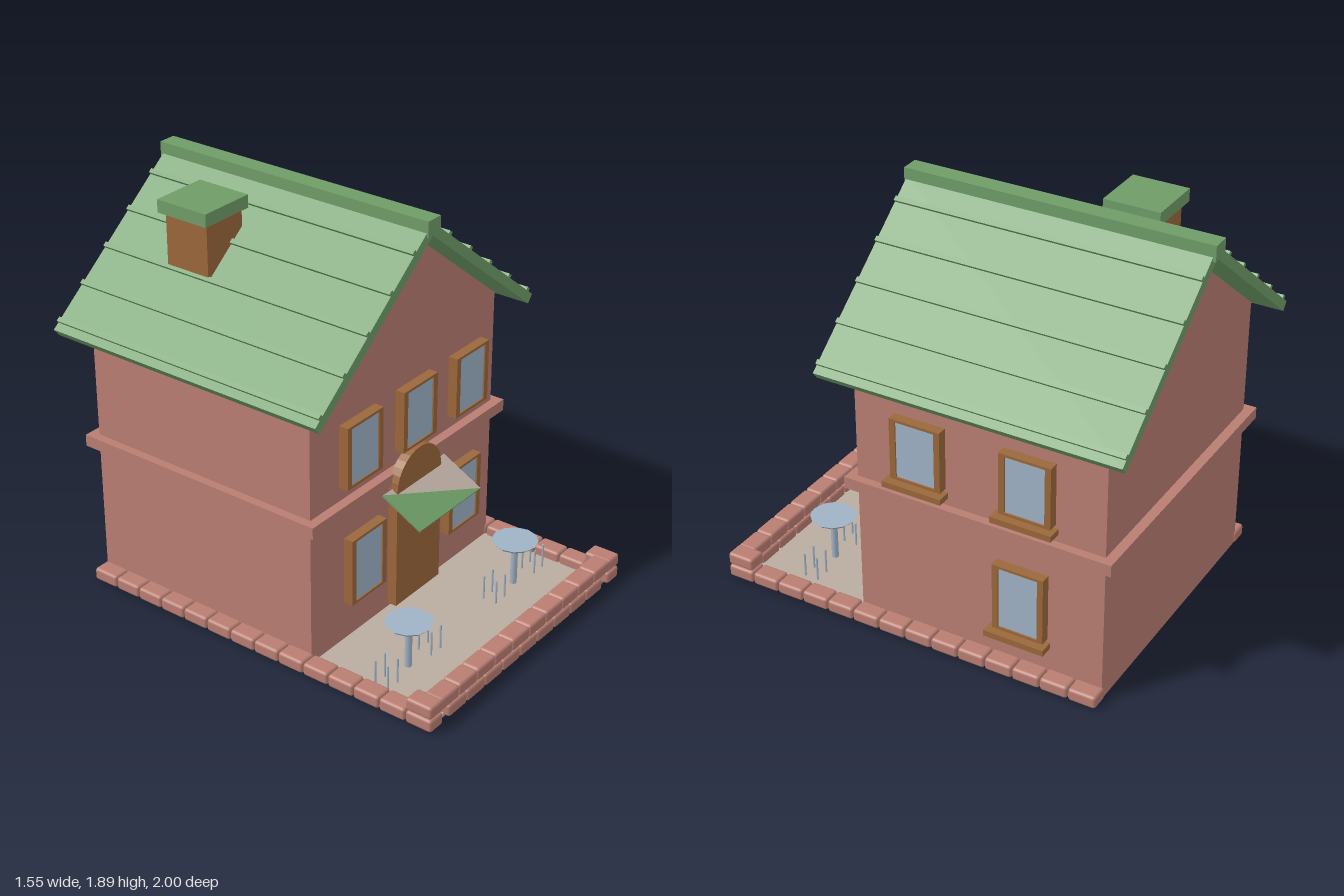
import * as THREE from 'three';
import { RoundedBoxGeometry } from 'three/addons/geometries/RoundedBoxGeometry.js';

export function createModel() {
  const house = new THREE.Group();
  house.name = 'house';

  const paint = (name, color, side = THREE.FrontSide) => {
    const m = new THREE.MeshStandardMaterial({ color, side });
    m.name = name;
    return m;
  };
  const clay = paint('clay', 0xb97e72);
  const green = paint('roofGreen', 0x6f9d68);
  const wood = paint('wood', 0x9a673b);
  const blue = paint('paleBlue', 0x9fb3c6);
  const stone = paint('stone', 0xb9aca0);

  const add = (name, geo, mat, x = 0, y = 0, z = 0, parent = house) => {
    const mesh = new THREE.Mesh(geo, mat);
    mesh.name = name;
    mesh.position.set(x, y, z);
    parent.add(mesh);
    return mesh;
  };
  // Box given by its min and max on every axis
  const span = (name, mat, x0, x1, y0, y1, z0, z1, parent = house) =>
    add(name, new THREE.BoxGeometry(x1 - x0, y1 - y0, z1 - z0), mat,
      (x0 + x1) / 2, (y0 + y1) / 2, (z0 + z1) / 2, parent);

  // Walls, storey band and gable
  span('walls', clay, -0.66, 0.66, 0.005, 1.27, -0.87, 0.32);
  span('storeyBand', clay, -0.7, 0.7, 0.675, 0.73, -0.915, 0.365);
  const gable = new THREE.Shape([
    new THREE.Vector2(-0.67, 1.265), new THREE.Vector2(0.67, 1.265), new THREE.Vector2(0, 1.795),
  ]);
  add('gable', new THREE.ExtrudeGeometry(gable, { depth: 1.19, bevelEnabled: false }), clay, 0, 0, -0.87);

  // Roof slopes with raised seams; local x runs from ridge to eave
  const slopeAngle = Math.atan2(0.59, 0.748);
  const slopeLength = Math.hypot(0.59, 0.748);
  for (const side of [1, -1]) {
    const slope = new THREE.Group();
    slope.name = side > 0 ? 'leftRoofSlope' : 'rightRoofSlope';
    slope.position.set(0, 1.81, 0);
    slope.rotation.set(0, side > 0 ? 0 : Math.PI, -side * slopeAngle);
    // Both slopes are turned about z after the half turn about y
    slope.rotation.order = 'ZYX';
    house.add(slope);
    const zMid = side * -0.272;
    add('roofSheet', new THREE.BoxGeometry(slopeLength, 0.046, 1.43), green, slopeLength / 2, 0.023, zMid, slope);
    for (let i = 0; i < 5; i++) {
      const along = (0.062 + i * 0.154) / Math.cos(slopeAngle);
      add('roofSeam', new THREE.BoxGeometry(0.022, 0.018, 1.43), green, along + 0.04, 0.052, zMid, slope);
    }
  }
  span('ridgeCap', green, -0.043, 0.043, 1.815, 1.888, -1, 0.45);

  // Chimney
  span('chimney', wood, -0.435, -0.21, 1.45, 1.79, -0.62, -0.395);
  span('chimneyCap', green, -0.462, -0.19, 1.785, 1.845, -0.642, -0.375);

  // Windows: built facing +z, then placed on the front or the left wall
  function addWindow(x, z, yLow, yHigh, turned) {
    const w = new THREE.Group();
    w.name = turned ? 'sideWindow' : 'frontWindow';
    const h = yHigh - yLow;
    for (const s of [-1, 1]) {
      add('frameSide', new THREE.BoxGeometry(0.028, h, 0.046), wood, s * 0.107, h / 2, 0, w);
      add('frameRail', new THREE.BoxGeometry(0.188, 0.012, 0.046), wood, 0, h / 2 + s * (h / 2 - 0.006), 0, w);
    }
    add('glass', new THREE.BoxGeometry(0.188, h - 0.02, 0.024), blue, 0, h / 2, 0.004, w);
    if (turned) {
      add('sill', new THREE.BoxGeometry(0.285, 0.028, 0.065), wood, 0, -0.016, 0.026, w);
      w.rotation.y = Math.PI / 2;
    }
    w.position.set(x, yLow, z);
    house.add(w);
  }
  for (const x of [-0.388, 0, 0.388]) addWindow(x, 0.377, 0.83, 1.122, false);
  for (const x of [-0.356, 0.356]) addWindow(x, 0.377, 0.244, 0.566, false);
  addWindow(0.71, -0.015, 0.83, 1.122, true);
  addWindow(0.71, -0.533, 0.83, 1.122, true);
  addWindow(0.71, -0.503, 0.244, 0.566, true);

  // Door with arched head
  span('door', wood, -0.162, 0.162, 0.075, 0.66, 0.354, 0.4);
  const arch = new THREE.Shape();
  arch.absellipse(0, 0, 0.16, 0.152, 0, Math.PI, false, 0);
  add('doorArch', new THREE.ExtrudeGeometry(arch, { depth: 0.046, bevelEnabled: false, curveSegments: 7 }),
    wood, 0, 0.66, 0.354);

  // Sloping canopy in two triangular halves
  const canopy = new THREE.Group();
  canopy.name = 'canopy';
  canopy.position.set(0, 0.607, 0.467);
  canopy.rotation.x = -Math.PI / 2 + Math.atan2(0.105, 0.2);
  house.add(canopy);
  const half = (name, mat, points) => {
    const shape = new THREE.Shape(points.map(([x, y]) => new THREE.Vector2(x, y)));
    add(name, new THREE.ExtrudeGeometry(shape, { depth: 0.01, bevelEnabled: false }), mat, 0, 0, -0.005, canopy);
  };
  half('canopyGreenHalf', green, [[-0.225, 0.112], [-0.225, -0.112], [0.225, -0.112]]);
  half('canopyPaleHalf', stone, [[-0.225, 0.112], [0.225, -0.112], [0.225, 0.112]]);

  // Terrace floor
  span('terrace', stone, -0.66, 0.66, 0, 0.018, 0.32, 0.97);

  // Brick edging
  const longBrick = new RoundedBoxGeometry(0.131, 0.06, 0.09, 2, 0.014);
  const endBrick = new RoundedBoxGeometry(0.09, 0.06, 0.131, 2, 0.014);
  for (const s of [-1, 1]) {
    for (let i = 0; i < 14; i++) add('sideBrick', endBrick, clay, s * 0.692, 0.034, 0.934 - i * 0.1344);
    add('cornerBrick', endBrick, clay, s * 0.692, 0.099, 0.934);
  }
  for (let i = 0; i < 10; i++) {
    add('upperFrontBrick', longBrick, clay, (i - 4.5) * 0.132, 0.099, 0.953);
  }
  for (let i = 0; i < 9; i++) {
    add('lowerFrontBrick', longBrick, clay, (i - 4) * 0.134, 0.034, 0.953);
  }

  // Round tables with the slim legs of the seats beside them
  const tableTop = new THREE.CylinderGeometry(0.106, 0.09, 0.016, 12);
  const tableStem = new THREE.CylinderGeometry(0.016, 0.016, 0.22, 8);
  const seatLeg = new THREE.CylinderGeometry(0.005, 0.005, 0.138, 6);
  for (const x of [-0.423, 0.386]) {
    const set = new THREE.Group();
    set.name = 'tableSet';
    set.position.set(x, 0, 0.658);
    house.add(set);
    add('tableTop', tableTop, blue, 0, 0.237, 0, set);
    add('tableStem', tableStem, blue, 0, 0.122, 0, set);
    for (const dx of [-0.19, -0.122, 0.122, 0.19]) {
      for (const dz of [-0.033, 0.033]) add('seatLeg', seatLeg, blue, dx, 0.068, dz, set);
    }
  }

  return house;
}
